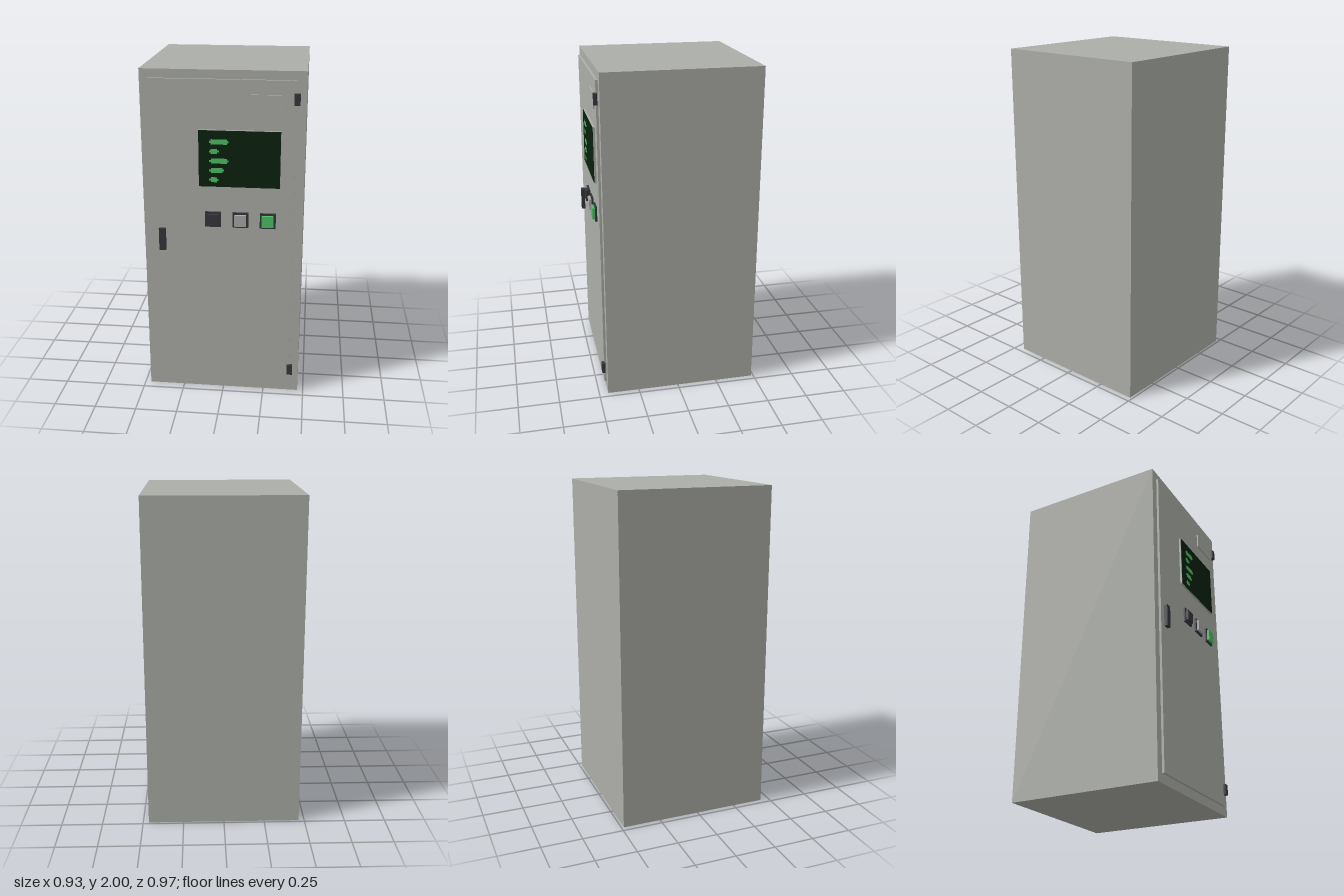
import * as THREE from 'three';

const mat = (name, color) => {
  const m = new THREE.MeshStandardMaterial({ color });
  m.name = name;
  return m;
};

export function createModel() {
  const cabinetGrey = mat('cabinetGrey', 0xacaea8);
  const darkPlastic = mat('darkPlastic', 0x37363c);
  const screenGreen = mat('screenGreen', 0x0b210d);
  const brightGreen = mat('brightGreen', 0x4cc165);
  const capGrey = mat('capGrey', 0xaaaaaa);

  const model = new THREE.Group();
  model.name = 'controlCabinet';

  // Box given by its lower and upper bounds on each axis
  const box = (name, material, [x0, x1], [y0, y1], [z0, z1], parent = model) => {
    const mesh = new THREE.Mesh(new THREE.BoxGeometry(x1 - x0, y1 - y0, z1 - z0), material);
    mesh.position.set((x0 + x1) / 2, (y0 + y1) / 2, (z0 + z1) / 2);
    mesh.name = name;
    parent.add(mesh);
    return mesh;
  };

  const doorZ = 0.459;

  // Cabinet shell and door
  box('body', cabinetGrey, [-0.465, 0.465], [0, 2], [-0.485, 0.445]);
  box('door', cabinetGrey, [-0.415, 0.41], [0.055, 1.95], [0.44, doorZ]);
  box('namePlate', cabinetGrey, [0.16, 0.355], [1.778, 1.87], [0.455, 0.467]);

  // Hinges on the left edge, handle on the right
  for (const y of [0.125, 1.815]) {
    box('hinge', darkPlastic, [0.396, 0.43], [y, y + 0.065], [0.453, 0.473]);
  }
  box('handle', darkPlastic, [-0.375, -0.336], [0.935, 1.07], [doorZ, 0.48]);

  // Display with a dark face
  const display = new THREE.Group();
  display.name = 'display';
  model.add(display);
  box('displayHousing', cabinetGrey, [-0.135, 0.33], [1.337, 1.668], [0.455, 0.471], display);
  box('displayFace', screenGreen, [-0.134, 0.329], [1.338, 1.667], [0.471, 0.473], display);

  // Readout bars with stepped ends
  const barEnds = [0.037, -0.018, 0.037, 0.012, -0.02];
  barEnds.forEach((x1, i) => {
    const y = 1.602 - i * 0.0555;
    const x0 = -0.074;
    const s = new THREE.Shape([
      [x0, -0.006], [x0 + 0.01, -0.006], [x0 + 0.01, -0.015],
      [x1 - 0.01, -0.015], [x1 - 0.01, -0.006], [x1, -0.006],
      [x1, 0.006], [x1 - 0.01, 0.006], [x1 - 0.01, 0.015],
      [x0 + 0.01, 0.015], [x0 + 0.01, 0.006], [x0, 0.006],
    ].map(([px, py]) => new THREE.Vector2(px, py)));
    const bar = new THREE.Mesh(new THREE.ShapeGeometry(s), brightGreen);
    bar.position.set(0, y, 0.474);
    bar.name = 'readoutBar';
    display.add(bar);
  });

  // Three square push buttons in dark housings
  [[-0.055, darkPlastic], [0.104, capGrey], [0.263, brightGreen]].forEach(([x, cap]) => {
    const button = new THREE.Group();
    button.name = 'button';
    model.add(button);
    const y = 1.136;
    box('buttonHousing', darkPlastic, [x - 0.046, x + 0.046], [y - 0.046, y + 0.046], [0.455, 0.47], button);
    box('buttonCap', cap, [x - 0.034, x + 0.034], [y - 0.034, y + 0.034], [0.465, 0.485], button);
  });

  return model;
}
